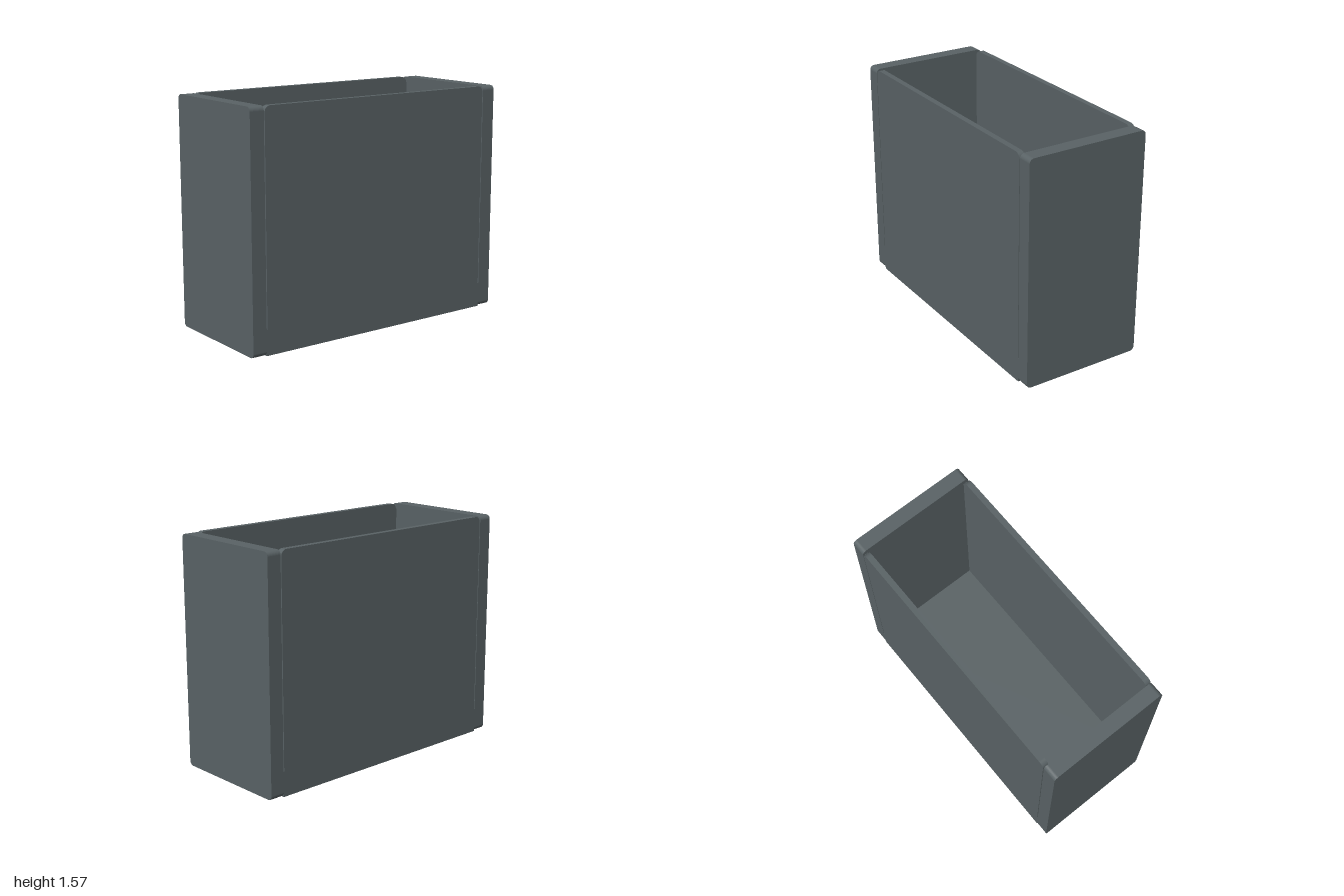
import * as THREE from 'three';

const H = 1.57, HALF_Z = 0.427, INNER_X = 0.9, FLOOR = 0.17, WALL = 0.04;

// Rounded rectangle, with separate radii for the lower and upper corners
function roundedRect(x0, y0, x1, y1, rLow, rTop) {
  const s = new THREE.Shape();
  s.moveTo(x0 + rLow, y0);
  s.lineTo(x1 - rLow, y0);
  if (rLow) s.absarc(x1 - rLow, y0 + rLow, rLow, -Math.PI / 2, 0, false);
  s.lineTo(x1, y1 - rTop);
  s.absarc(x1 - rTop, y1 - rTop, rTop, 0, Math.PI / 2, false);
  s.lineTo(x0 + rTop, y1);
  s.absarc(x0 + rTop, y1 - rTop, rTop, Math.PI / 2, Math.PI, false);
  s.lineTo(x0, y0 + rLow);
  if (rLow) s.absarc(x0 + rLow, y0 + rLow, rLow, Math.PI, Math.PI * 1.5, false);
  return s;
}

function plate(shape, depth) {
  const g = new THREE.ExtrudeGeometry(shape, { depth, bevelEnabled: false, curveSegments: 8 });
  return g.translate(0, 0, -depth / 2);
}

export function createModel() {
  const group = new THREE.Group();
  const slate = new THREE.MeshStandardMaterial({ color: 0x596265 });
  slate.name = 'slate grey';

  const add = (name, geometry, x, y, z) => {
    const mesh = new THREE.Mesh(geometry, slate);
    mesh.name = name;
    mesh.position.set(x, y, z);
    group.add(mesh);
    return mesh;
  };

  // Solid floor between the two thick ends
  add('floor', new THREE.BoxGeometry(INNER_X * 2, FLOOR, HALF_Z * 2), 0, FLOOR / 2, 0);

  // Thick ends with softly rounded corners
  const endGeo = plate(roundedRect(-HALF_Z, 0, HALF_Z, H, 0.03, 0.03), 1 - INNER_X);
  endGeo.rotateY(Math.PI / 2);
  for (const side of [1, -1]) {
    add(side > 0 ? 'leftEnd' : 'rightEnd', endGeo, side * (1 + INNER_X) / 2, 0, 0);
  }

  // Thin front and back panels, rounded at their upper corners
  const panelX = INNER_X - 0.006;
  const panelGeo = plate(roundedRect(-panelX, FLOOR, panelX, H, 0, 0.04), WALL);
  const stripGeo = new THREE.BoxGeometry(0.012, H - FLOOR - 0.04, WALL - 0.014);
  for (const face of [1, -1]) {
    const z = face * (HALF_Z - WALL / 2);
    add(face > 0 ? 'frontPanel' : 'backPanel', panelGeo, 0, 0, z);
    // Recessed strips close the narrow grooves beside each panel
    for (const side of [1, -1]) {
      add('grooveStrip', stripGeo, side * (INNER_X - 0.005), (H + FLOOR - 0.04) / 2, z - face * 0.006);
    }
  }
  return group;
}
